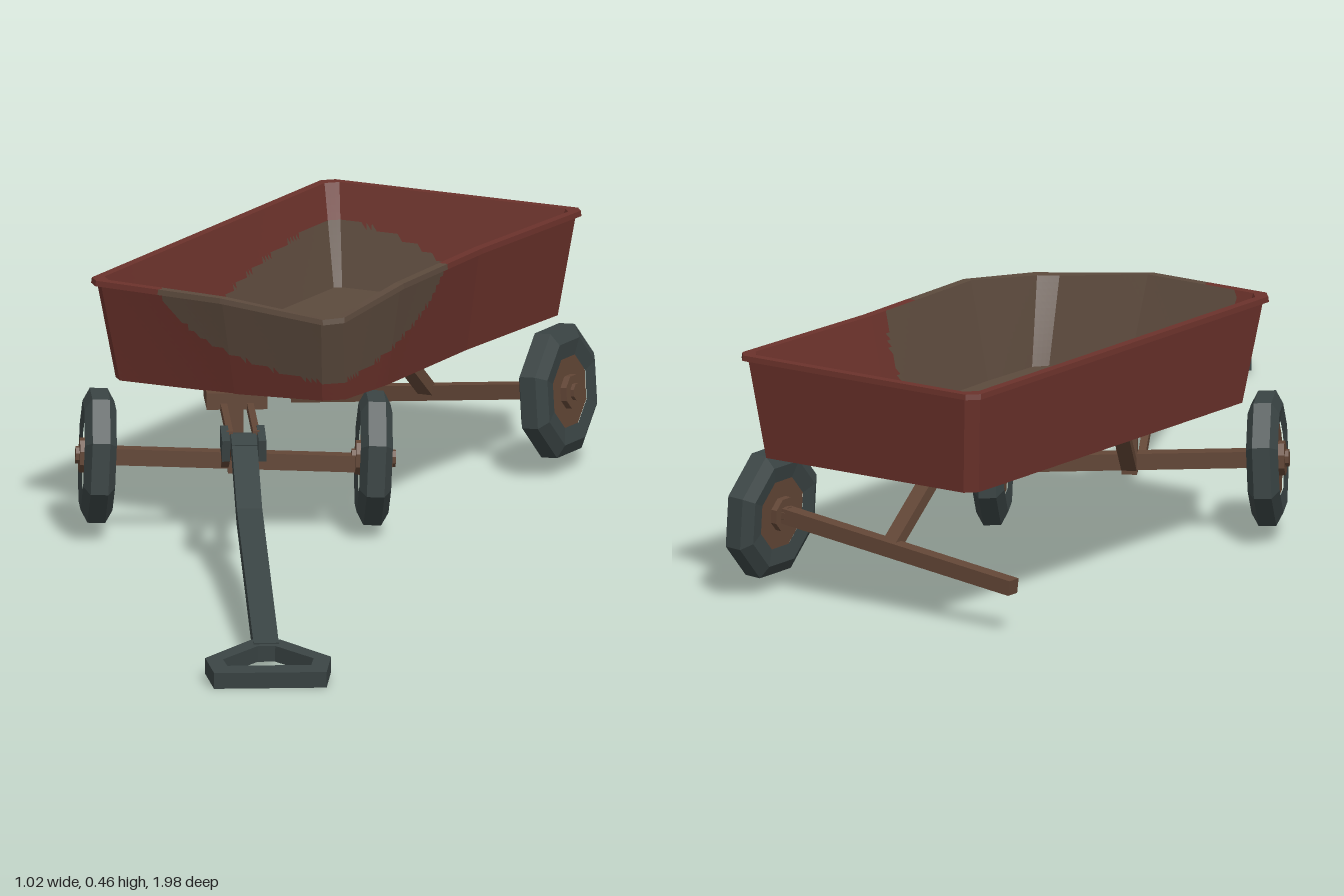
import * as THREE from 'three';

const mat = (name, color) => {
  const m = new THREE.MeshStandardMaterial({ color, flatShading: true });
  m.name = name;
  return m;
};

export function createModel() {
  const red = mat('faded red paint', 0x6b322b);
  const rust = mat('rusty bed', 0x5c4a3d);
  const brown = mat('rusty iron', 0x624636);
  const dark = mat('dark rubber and steel', 0x3a4444);

  const V = (x, y, z) => new THREE.Vector3(x, y, z);
  const add = (parent, name, geo, material, x = 0, y = 0, z = 0) => {
    const m = new THREE.Mesh(geo, material);
    m.name = name;
    m.position.set(x, y, z);
    parent.add(m);
    return m;
  };
  // Straight square bar between two points
  const beam = (parent, name, a, b, w, h, material) => {
    const m = new THREE.Mesh(new THREE.BoxGeometry(w, h, a.distanceTo(b)), material);
    m.name = name;
    m.position.copy(a).lerp(b, 0.5);
    m.lookAt(b);
    parent.add(m);
  };

  const wagon = new THREE.Group();
  wagon.name = 'wagon';

  // ---- Bed: closed strip of rings, battered at the front left corner ----
  const ring = (pts) => pts.map((p) => V(...p));
  const rim = ring([
    [-0.462, 0.455, -0.965], [-0.442, 0.455, -0.985], [0.04, 0.455, -0.985], [0.056, 0.455, -0.965],
    [0.04, 0.455, -0.62], [0.047, 0.455, -0.3], [0.03, 0.43, -0.11], [0.0, 0.428, -0.082],
    [-0.19, 0.452, -0.058], [-0.442, 0.455, -0.068], [-0.462, 0.455, -0.09]]);
  const bottom = ring([
    [-0.445, 0.273, -0.945], [-0.425, 0.273, -0.965], [0.015, 0.273, -0.965], [0.03, 0.273, -0.945],
    [0.015, 0.273, -0.62], [0.02, 0.273, -0.3], [0.012, 0.275, -0.155], [-0.02, 0.275, -0.125],
    [-0.19, 0.273, -0.108], [-0.425, 0.273, -0.108], [-0.445, 0.273, -0.13]]);
  const floor = ring([
    [-0.412, 0.283, -0.915], [-0.4, 0.283, -0.925], [-0.005, 0.283, -0.925], [0.004, 0.283, -0.915],
    [-0.008, 0.283, -0.62], [0.0, 0.283, -0.3], [-0.005, 0.283, -0.17], [-0.025, 0.283, -0.145],
    [-0.19, 0.283, -0.132], [-0.4, 0.283, -0.135], [-0.418, 0.283, -0.15]]);
  const mid = V(-0.2, 0, -0.53);
  // Grow a ring outward by d and lift it by dy
  const offset = (r, d, dy) => r.map((p) => V(
    p.x + d * Math.sign(p.x - mid.x) * (Math.abs(p.x - mid.x) > 0.1 ? 1 : 0), p.y + dy,
    p.z + d * Math.sign(p.z - mid.z) * (Math.abs(p.z - mid.z) > 0.3 ? 1 : 0)));
  const centre = (y) => rim.map(() => V(mid.x, y, mid.z));

  const near = (p, c, rx, ry, rz) =>
    Math.abs((p.x - c[0]) / rx) ** 1.7 + Math.abs((p.y - c[1]) / ry) ** 1.7 + Math.abs((p.z - c[2]) / rz) ** 1.7 < 1;
  const outerRust = (p) => near(p, [0.04, 0.46, -0.07], 0.36, 0.155, 0.41);
  const innerRust = (p) => near(p, [0.04, 0.4, -0.08], 0.44, 0.4, 0.5) || near(p, [-0.42, 0.28, -0.92], 0.28, 0.12, 0.5);

  const paint = [], worn = [];
  const band = (A, B, rows, isRust) => {
    for (let i = 0; i < A.length; i++) {
      const j = (i + 1) % A.length;
      const cols = rows > 1 ? Math.ceil(rim[i].distanceTo(rim[j]) / 0.012) : 4;
      const at = (u, v) => A[i].clone().lerp(A[j], u / cols).lerp(B[i].clone().lerp(B[j], u / cols), v / rows);
      for (let u = 0; u < cols; u++) for (let v = 0; v < rows; v++) {
        const a = at(u, v), b = at(u, v + 1), c = at(u + 1, v + 1), d = at(u + 1, v);
        for (const t of [[a, b, c], [a, c, d]]) {
          const g = t[0].clone().add(t[1]).add(t[2]).divideScalar(3);
          const list = isRust(g) ? worn : paint;
          t.forEach((p) => list.push(p.x, p.y, p.z));
        }
      }
    }
  };
  const always = () => true;
  const lipLow = offset(rim, 0.008, 0), lipTop = offset(rim, 0.007, 0.01), lipIn = offset(rim, -0.01, 0.01);
  band(centre(0.273), bottom, 1, always);
  band(bottom, rim, 14, outerRust);
  band(rim, lipLow, 2, outerRust);
  band(lipLow, lipTop, 2, outerRust);
  band(lipTop, lipIn, 2, outerRust);
  band(lipIn, floor, 14, innerRust);
  band(floor, centre(0.283), 1, always);
  for (const [name, list, m] of [['bedPaint', paint, red], ['bedRust', worn, rust]]) {
    const geo = new THREE.BufferGeometry();
    geo.setAttribute('position', new THREE.Float32BufferAttribute(list, 3));
    geo.computeVertexNormals();
    add(wagon, name, geo, m);
  }

  // ---- Wheels: eight-sided tyre, recessed disc and hub, axis along x ----
  const tyreProfile = [[0.068, -0.024], [0.1, -0.029], [0.124, -0.016], [0.124, 0.016], [0.1, 0.029], [0.068, 0.024]]
    .map((p) => new THREE.Vector2(...p));
  const wheel = (parent, name, x, y, z, tilt) => {
    const g = new THREE.Group();
    g.name = name;
    const turn = (geo) => geo.rotateY(Math.PI / 8).rotateZ(Math.PI / 2);
    add(g, 'tyre', turn(new THREE.LatheGeometry(tyreProfile, 8)), dark);
    add(g, 'wheelDisc', turn(new THREE.CylinderGeometry(0.072, 0.072, 0.042, 8)), brown);
    add(g, 'hub', turn(new THREE.CylinderGeometry(0.032, 0.032, 0.066, 8)), brown);
    add(g, 'axleCap', turn(new THREE.CylinderGeometry(0.016, 0.016, 0.08, 8)), brown);
    g.position.set(x, y, z);
    g.rotation.z = tilt;
    parent.add(g);
  };

  // ---- Rear axle, drooping where its wheel is missing ----
  beam(wagon, 'rearAxle', V(-0.475, 0.087, -0.88), V(0.07, 0.152, -0.88), 0.028, 0.028, brown);
  beam(wagon, 'rearStrut', V(-0.2, 0.285, -0.68), V(-0.2, 0.12, -0.88), 0.03, 0.022, brown);
  wheel(wagon, 'rearWheel', 0.065, 0.15, -0.88, 0.06);

  // ---- Front steering assembly, turned to the side ----
  const steer = new THREE.Group();
  steer.name = 'steeringAssembly';
  steer.position.set(-0.217, 0, -0.162);
  steer.rotation.y = THREE.MathUtils.degToRad(30.6);
  wagon.add(steer);

  beam(steer, 'frontAxle', V(-0.25, 0.149, 0), V(0.25, 0.128, 0), 0.03, 0.03, brown);
  wheel(steer, 'frontRightWheel', -0.25, 0.148, 0, -0.04);
  wheel(steer, 'frontLeftWheel', 0.25, 0.138, 0, -0.04);
  add(steer, 'turntable', new THREE.BoxGeometry(0.11, 0.03, 0.12), brown, 0, 0.259, 0);
  add(steer, 'kingPost', new THREE.BoxGeometry(0.028, 0.14, 0.028), brown, 0, 0.185, 0);
  beam(steer, 'rearTopBar', V(0, 0.25, 0), V(0, 0.25, -0.2), 0.03, 0.014, brown);
  beam(steer, 'rearBrace', V(0, 0.25, -0.195), V(0, 0.13, -0.01), 0.028, 0.018, brown);
  for (const s of [-1, 1]) {
    beam(steer, 'frontTopBar', V(s * 0.024, 0.248, 0), V(s * 0.024, 0.246, 0.28), 0.012, 0.016, brown);
    beam(steer, 'frontBrace', V(s * 0.02, 0.13, 0), V(s * 0.024, 0.236, 0.27), 0.014, 0.018, brown);
    beam(steer, 'clevisProng', V(s * 0.033, 0.238, 0.245), V(s * 0.033, 0.226, 0.32), 0.014, 0.04, dark);
  }
  add(steer, 'clevisBar', new THREE.BoxGeometry(0.08, 0.026, 0.022), dark, 0, 0.234, 0.27);

  // ---- Handle with a bend and a loop grip ----
  const shaft = [V(0, 0.236, 0.285), V(0, 0.225, 0.33), V(0, 0.148, 0.505), V(0, 0.036, 1.11)];
  for (let i = 0; i < 3; i++) beam(steer, 'handleShaft', shaft[i], shaft[i + 1], 0.046, 0.032, dark);
  const outline = (pts) => pts.concat(pts.slice().reverse().map(([x, y]) => [-x, y])).map((p) => new THREE.Vector2(...p));
  const gripShape = new THREE.Shape(outline([[0.026, 0], [0.114, 0.098], [0.102, 0.182]]));
  gripShape.holes.push(new THREE.Path(outline([[0.016, 0.036], [0.082, 0.106], [0.076, 0.142]])));
  const gripGeo = new THREE.ExtrudeGeometry(gripShape, { depth: 0.03, bevelEnabled: false });
  gripGeo.rotateX(Math.PI / 2); // shape length runs forward, thickness runs down
  const grip = add(steer, 'handleGrip', gripGeo, dark, 0, 0.052, 1.087);
  grip.rotation.x = 0.11;

  return wagon;
}
